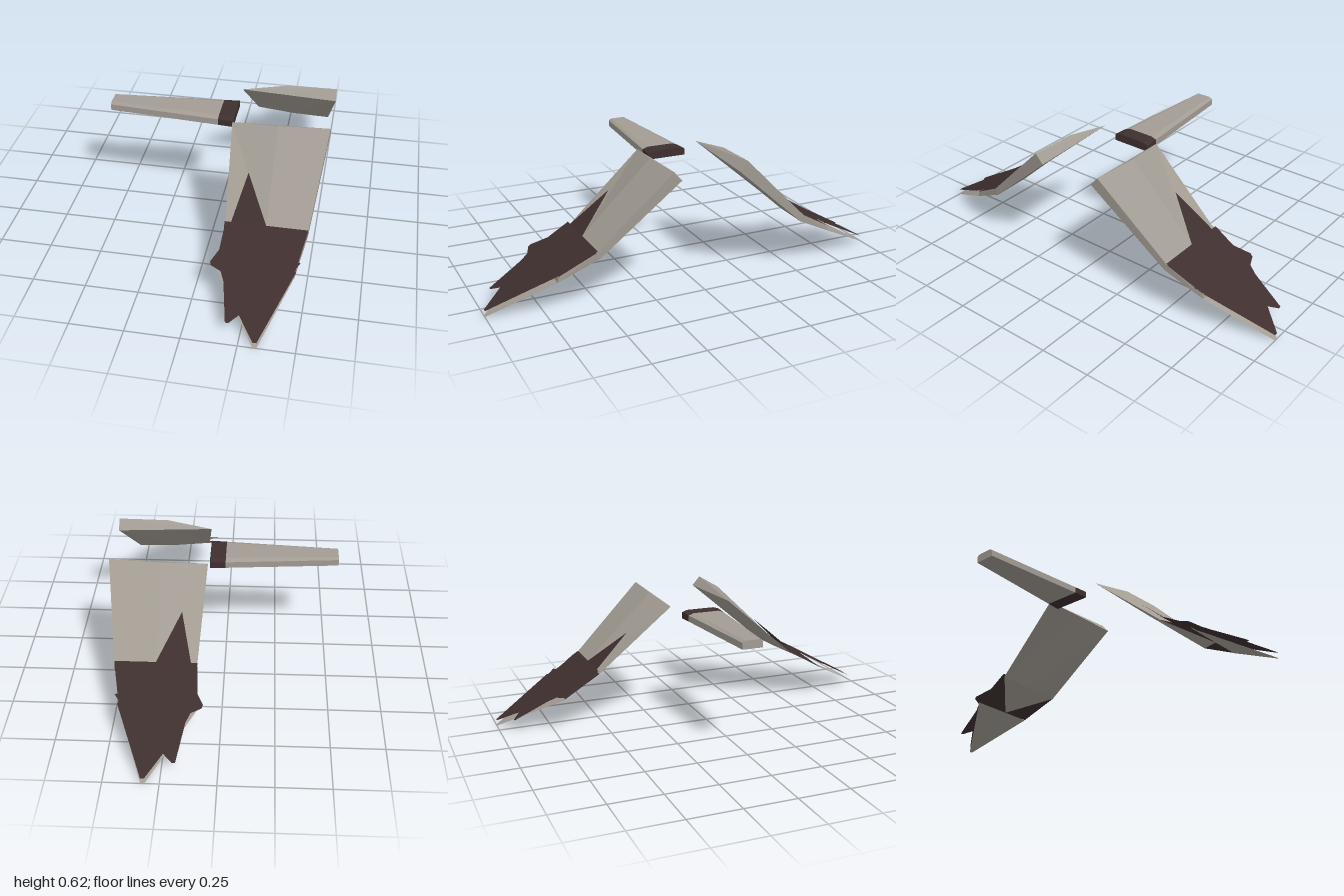
import * as THREE from 'three';

const mat = (name, color) => {
  const m = new THREE.MeshStandardMaterial({ color, side: THREE.DoubleSide });
  m.name = name;
  return m;
};

// Flat-shaded mesh from polygons, each fanned into triangles
function faces(name, material, polys) {
  const pos = [];
  for (const p of polys)
    for (let i = 1; i < p.length - 1; i++) pos.push(...p[0], ...p[i], ...p[i + 1]);
  const g = new THREE.BufferGeometry();
  g.setAttribute('position', new THREE.Float32BufferAttribute(pos, 3));
  g.computeVertexNormals();
  const mesh = new THREE.Mesh(g, material);
  mesh.name = name;
  return mesh;
}

// Side quads between two rings of equal length
const bridge = (a, b) => a.map((p, i) => {
  const j = (i + 1) % a.length;
  return [p, a[j], b[j], b[i]];
});

// Flat outline in x,z draped on a sloped surface
function sheet(name, material, outline, height, s) {
  const g = new THREE.ShapeGeometry(new THREE.Shape(outline.map(([x, z]) => new THREE.Vector2(x, z))));
  const p = g.attributes.position;
  for (let i = 0; i < p.count; i++) {
    const x = p.getX(i), z = p.getY(i);
    p.setXYZ(i, x, height(z, x), s * z);
  }
  g.computeVertexNormals();
  const mesh = new THREE.Mesh(g, material);
  mesh.name = name;
  return mesh;
}

function createWing(s, pale, dark) {
  const wing = new THREE.Group();
  wing.name = s > 0 ? 'frontWing' : 'backWing';
  const at = (pts) => pts.map(([x, y, z]) => [x, y, s * z]);

  // Sections: trailing edge, top middle, top leading, bottom leading, bottom middle
  const root = at([[0.08, 0.585, 0.155], [0.3, 0.61, 0.19], [0.54, 0.618, 0.183], [0.54, 0.573, 0.143], [0.3, 0.585, 0.165]]);
  const bend = at([[0.112, 0.272, 0.52], [0.3, 0.281, 0.53], [0.49, 0.281, 0.53], [0.49, 0.25, 0.515], [0.3, 0.256, 0.515]]);
  const end = at([[0.1, 0.168, 0.7], [0.3, 0.186, 0.695], [0.455, 0.186, 0.695], [0.455, 0.158, 0.7], [0.3, 0.16, 0.7]]);

  // Inner panel and the pale parts of the outer panel
  wing.add(faces('innerPanel', pale, [...bridge(root, bend), root]));
  wing.add(faces('outerPanel', pale, [
    [bend[2], bend[3], end[3], end[2]],
    [bend[0], bend[4], end[4]],
    [bend[4], bend[3], end[4]],
    end,
  ]));
  // Dark top and lower corners of the outer panel
  wing.add(faces('outerPanelDark', dark, [
    [bend[0], bend[1], end[1], end[0]],
    [bend[1], bend[2], end[2], end[1]],
    [bend[0], end[0], end[4]],
    [bend[3], end[3], end[4]],
  ]));

  // Ragged dark tip feathers
  const slope = (z) => 0.288 - 0.548 * (z - 0.525);
  sheetList: {
    wing.add(sheet('tipFeathers', dark, [
      [0.11, 0.525], [0.49, 0.525], [0.485, 0.56], [0.44, 0.655], [0.475, 0.665], [0.452, 0.695], [0.46, 0.705],
      [0.332, 0.998], [0.315, 0.998], [0.24, 0.9], [0.2, 0.935], [0.185, 0.935], [0.15, 0.775],
      [0.13, 0.735], [0.082, 0.715], [0.076, 0.7], [0.118, 0.63],
    ], slope, s));
    // Dark spike lying on the inner panel
    wing.add(sheet('innerSpike', dark, [[0.14, 0.525], [0.19, 0.35], [0.3, 0.525]],
      (z) => 0.288 + 0.9 * (0.525 - z), s));
  }

  // Pale feather under the tip
  wing.add(faces('underFeather', pale, [
    at([[0.1, 0.165, 0.7], [0.455, 0.157, 0.7], [0.332, 0, 1], [0.315, 0, 1]]),
  ]));
  return wing;
}

function createTail(pale, dark) {
  const tail = new THREE.Group();
  tail.name = 'tail';
  // Chamfered bar section with half width w
  const ring = (x, w) => [
    [x, 0.522, -w], [x, 0.553, -w], [x, 0.562, -w * 0.72],
    [x, 0.562, w * 0.72], [x, 0.553, w], [x, 0.522, w],
  ];
  const tip = ring(-0.54, 0.05), joint = ring(0, 0.092), base = ring(0.075, 0.098);
  tail.add(faces('tailBlade', pale, [...bridge(tip, joint), tip]));
  tail.add(faces('tailBase', dark, [...bridge(joint, base), base]));
  return tail;
}

export function createModel() {
  const pale = mat('pale grey', 0xa29c93);
  const dark = mat('dark brown', 0x3f2f2f);
  const model = new THREE.Group();
  model.name = 'wingsAndTail';
  for (const s of [1, -1]) model.add(createWing(s, pale, dark));
  model.add(createTail(pale, dark));
  return model;
}
